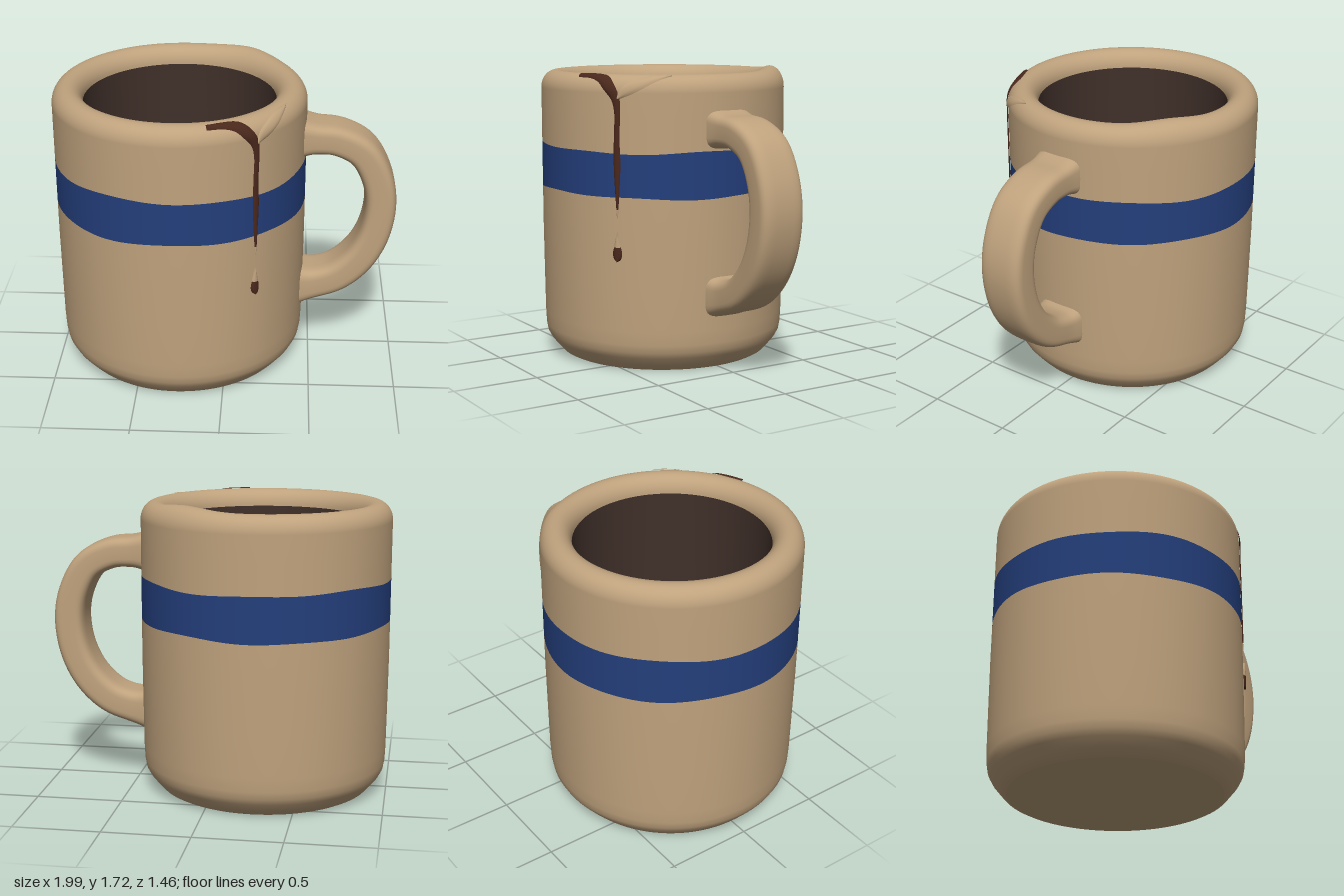
import * as THREE from 'three';
import { mergeVertices } from 'three/addons/utils/BufferGeometryUtils.js';

const R = 0.728, LIP_Y = 1.6, LIP_R = 0.64, LIP_W = 0.088, LIP_H = 0.1;
const DEG = Math.PI / 180;

const material = (name, color) => {
  const m = new THREE.MeshStandardMaterial({ color });
  m.name = name;
  return m;
};

// Smooth surface through rows of points
function loft(rows) {
  const pos = [], index = [], n = rows[0].length;
  rows.forEach(row => row.forEach(p => pos.push(p.x, p.y, p.z)));
  for (let i = 0; i < rows.length - 1; i++) {
    for (let j = 0; j < n - 1; j++) {
      const a = i * n + j, b = a + 1, c = a + n, d = c + 1;
      index.push(a, b, c, b, d, c);
    }
  }
  let g = new THREE.BufferGeometry();
  g.setAttribute('position', new THREE.Float32BufferAttribute(pos, 3));
  g.setIndex(index);
  g = mergeVertices(g, 1e-5);
  g.computeVertexNormals();
  return g;
}

// Point on the outer wall; v is height, and continues over the rounded lip
function onWall(angle, v, lift) {
  const t = Math.max(0, (v - LIP_Y) / LIP_H);
  const r = LIP_R + (LIP_W + lift) * Math.cos(t);
  const y = Math.min(v, LIP_Y) + (LIP_H + lift) * Math.sin(t);
  return new THREE.Vector3(r * Math.sin(angle), y, r * Math.cos(angle));
}

// Raised ribbon along points of [degrees, v, half width]
function ribbon(points, height) {
  const curve = new THREE.CatmullRomCurve3(
    points.map(([a, v, w]) => new THREE.Vector3(a * DEG * R, v, w)), false, 'centripetal');
  const rows = [];
  for (let i = 0; i <= 60; i++) {
    const p = curve.getPoint(i / 60), d = curve.getTangent(i / 60);
    const len = Math.hypot(d.x, d.y), w = Math.max(p.z, 0.001);
    const row = [];
    for (let j = 0; j <= 6; j++) {
      const s = 1 - j / 3;
      const a = (p.x - d.y / len * w * s) / R, v = p.y + d.x / len * w * s;
      row.push(onWall(a, v, 0.002 + height * Math.sqrt(1 - s * s)));
    }
    rows.push(row);
  }
  return loft(rows);
}

// Hand-made wobble of the painted band's edges
const wobble = (a, k) => 0.007 * Math.sin(3 * a + k) + 0.004 * Math.sin(7 * a + 2 * k);

// Revolved wall with wavy band edges and a soft bump on the back of the lip
function revolve(profile) {
  const g = new THREE.LatheGeometry(profile.map(([r, y]) => new THREE.Vector2(r, y)), 96);
  const p = g.attributes.position;
  for (let i = 0; i < p.count; i++) {
    const x = p.getX(i), y = p.getY(i), z = p.getZ(i), a = Math.atan2(x, z);
    let dy = 0;
    if (Math.abs(y - 1.015) < 0.001) dy = wobble(a, 1);
    if (Math.abs(y - 1.27) < 0.001) dy = wobble(a, 2.5);
    if (y > LIP_Y) dy = 0.024 * (y - LIP_Y) / LIP_H * Math.exp(-(((a - 143 * DEG) / 0.3) ** 2));
    p.setY(i, y + dy);
  }
  return g;
}

export function createModel() {
  const clay = material('clay', 0xbfa27d);
  const blue = material('blue glaze', 0x243f7c);
  const inside = material('dark interior', 0x40302a);
  const coffee = material('coffee', 0x4a281c);

  const root = new THREE.Group();
  root.name = 'mug';
  const cup = new THREE.Group();
  cup.name = 'cup';
  cup.position.x = -0.27;
  root.add(cup);
  const add = (parent, name, geometry, mat) => {
    const mesh = new THREE.Mesh(geometry, mat);
    mesh.name = name;
    parent.add(mesh);
    return mesh;
  };

  // Cup walls
  add(cup, 'lowerWall', revolve([[0.6, 0], [0.625, 0.013], [0.65, 0.04], [0.69, 0.088],
    [0.71, 0.125], [0.718, 0.17], [0.722, 0.25], [0.725, 0.5], [R, 0.8], [R, 1.015]]), clay);
  add(cup, 'blueBand', revolve([[R, 1.015], [R, 1.27]]), blue);
  const lip = [[R, 1.27], [R, 1.45]];
  for (let i = 0; i <= 20; i++) {
    const t = i / 20 * Math.PI;
    lip.push([LIP_R + LIP_W * Math.cos(t), LIP_Y + LIP_H * Math.sin(t)]);
  }
  add(cup, 'upperWallAndLip', revolve(lip), clay);
  add(cup, 'interior', revolve([[0.552, LIP_Y], [0.55, 1.2], [0.54, 0.4], [0.525, 0.25],
    [0.49, 0.18], [0.44, 0.155], [0, 0.15]]), inside);
  const base = add(cup, 'base', new THREE.CircleGeometry(0.6, 96), clay);
  base.rotation.x = Math.PI / 2;

  // Spill over the lip, running down the wall
  add(cup, 'coffeeDrip', ribbon([[16, 1.71, 0.02], [24, 1.71, 0.026], [30, 1.69, 0.035],
    [34, 1.64, 0.034], [37.5, 1.575, 0.026], [38.5, 1.5, 0.018], [38.2, 1.35, 0.017],
    [38.3, 1.2, 0.02], [38.3, 1.05, 0.013], [38.3, 0.95, 0.006]], 0.008), coffee);
  add(cup, 'dripTip', ribbon([[38.3, 0.955, 0.006], [38.3, 0.93, 0.005], [38.3, 0.9, 0.001]], 0.006), clay);
  add(cup, 'glazeFlap', ribbon([[38.5, 1.57, 0.008], [42, 1.61, 0.03], [48, 1.65, 0.034],
    [55, 1.69, 0.025], [63, 1.715, 0.003]], 0.007), clay);
  add(cup, 'dropletTail', ribbon([[38.2, 0.82, 0.001], [38.2, 0.78, 0.011], [38.2, 0.73, 0.022]], 0.012), clay);
  add(cup, 'droplet', ribbon([[38.2, 0.735, 0.021], [38.2, 0.695, 0.028], [38.2, 0.665, 0.019],
    [38.2, 0.652, 0.002]], 0.014), coffee);

  // Handle: rounded strap swept along a curve, flared where it meets the wall
  const path = new THREE.CatmullRomCurve3([[0.38, 1.395], [0.52, 1.39], [0.64, 1.378], [0.78, 1.305],
    [0.87, 1.15], [0.9, 0.98], [0.868, 0.78], [0.785, 0.62], [0.66, 0.505], [0.53, 0.457],
    [0.38, 0.44]].map(([x, y]) => new THREE.Vector3(x, y, 0)));
  const soft = c => Math.sign(c) * Math.abs(c) ** 0.5;
  const rows = [];
  for (let i = 0; i <= 72; i++) {
    const u = i / 72, c = path.getPointAt(u), d = path.getTangentAt(u);
    const flare = Math.exp(-(((c.x - 0.4) / 0.08) ** 2));
    const thick = 0.088 + 0.008 * u + 0.03 * flare, wide = 0.138 + 0.016 * flare;
    const row = [];
    for (let j = 0; j <= 40; j++) {
      const q = j / 40 * Math.PI * 2, n = thick * soft(Math.cos(q));
      row.push(new THREE.Vector3(c.x - d.y * n, c.y + d.x * n, wide * soft(Math.sin(q))));
    }
    rows.push(row);
  }
  add(root, 'handle', loft(rows), clay);
  return root;
}
